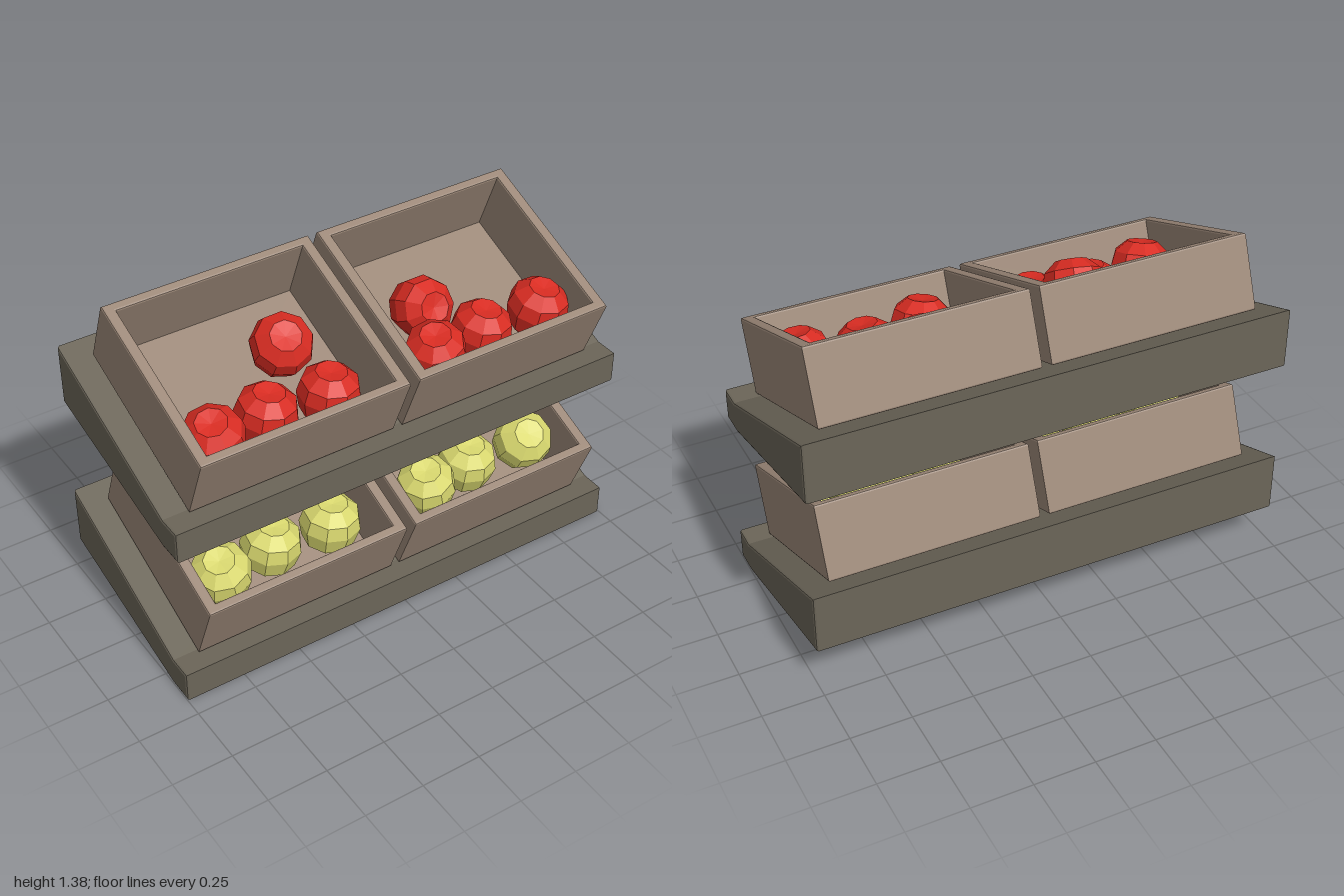
import * as THREE from 'three';

const TIER = 0.695;                       // height step between the two shelves
const mat = (color, flatShading = false) => {
  const m = new THREE.MeshStandardMaterial({ flatShading });
  m.color.set(color);
  return m;
};

function add(parent, name, geometry, material) {
  const mesh = new THREE.Mesh(geometry, material);
  mesh.name = name;
  parent.add(mesh);
  return mesh;
}

// Extrusion with a small bevel that stays inside the outline and the depth
function bevelled(shape, depth, b) {
  return new THREE.ExtrudeGeometry(shape, {
    depth: depth - 2 * b, bevelThickness: b, bevelSize: b, bevelOffset: -b, bevelSegments: 2,
  }).translate(0, 0, b);
}

function rect(w, h, Type = THREE.Shape) {
  return new Type([[-w, -h], [w, -h], [w, h], [-w, h]].map(([x, y]) => new THREE.Vector2(x / 2, y / 2)));
}

// Wedge-shaped shelf, drawn from the side and extruded across
function shelfGeometry() {
  const side = [[-0.42, 0], [-0.31, 0], [0.447, 0.175], [0.447, 0.43], [-0.32, 0.13], [-0.42, 0.13]];
  const shape = new THREE.Shape(side.map(([x, y]) => new THREE.Vector2(x, y)));
  return bevelled(shape, 2, 0.01).translate(0, 0, -1).rotateY(Math.PI / 2);
}

// Crate walls: a rectangular frame pulled upwards
function wallGeometry() {
  const frame = rect(0.88, 0.747);
  frame.holes.push(rect(0.79, 0.671, THREE.Path));
  return bevelled(frame, 0.304, 0.008).rotateX(-Math.PI / 2);
}

// Chunky faceted fruit
function fruitGeometry() {
  const profile = [[0, -0.1], [0.06, -0.11], [0.107, -0.065], [0.124, 0.01], [0.111, 0.067], [0.062, 0.11], [0, 0.1]];
  return new THREE.LatheGeometry(profile.map(([x, y]) => new THREE.Vector2(x, y)), 9);
}

// Fruit positions x, y, z and tilts about x and z, heights relative to the tier
const fruits = [
  [ // lower shelf
    [-0.73, 0.37, 0.235, 0.3, 0.2], [-0.485, 0.365, 0.195, 0.2, -0.1], [-0.225, 0.37, 0.215, 0.4, -0.3],
    [-0.69, 0.47, 0.03, 0.3, 0.1],
    [0.22, 0.37, 0.235, 0.3, -0.2], [0.45, 0.36, 0.195, 0.2, 0], [0.72, 0.37, 0.215, 0.4, -0.3],
    [0.62, 0.5, 0.045, 0.3, -0.35],
  ],
  [ // upper shelf
    [-0.73, 0.325, 0.235, 0.3, 0.2], [-0.485, 0.305, 0.195, 0.2, -0.1], [-0.225, 0.305, 0.215, 0.4, -0.3],
    [-0.315, 0.45, 0.03, 0.9, -0.3],
    [0.245, 0.32, 0.235, 0.3, -0.2], [0.49, 0.305, 0.195, 0.2, 0.1], [0.75, 0.325, 0.215, 0.4, 0.2],
    [0.33, 0.375, 0.015, 1.2, 0.1],
  ],
];

export function createModel() {
  const model = new THREE.Group();
  model.name = 'fruitDisplay';
  const shelfMat = mat(0x6b6558), crateMat = mat(0x9c8878);
  const fruitMats = [mat(0xd9d86f, true), mat(0xd92c22, true)];
  const shelfGeo = shelfGeometry(), wallGeo = wallGeometry(), fruitGeo = fruitGeometry();
  const floorGeo = new THREE.BoxGeometry(0.84, 0.02, 0.71);

  fruits.forEach((list, i) => {
    const tier = new THREE.Group();
    tier.name = i ? 'upperTier' : 'lowerTier';
    tier.position.y = i * TIER;
    model.add(tier);
    add(tier, 'shelf', shelfGeo, shelfMat);

    // Two crates lying on the sloping shelf
    for (const s of [-1, 1]) {
      const crate = new THREE.Group();
      crate.name = s < 0 ? 'rightCrate' : 'leftCrate';
      crate.position.set(s * 0.46, 0.268, -0.0075);
      crate.rotation.x = Math.atan2(0.275, 0.695);
      add(crate, 'crateWalls', wallGeo, crateMat);
      add(crate, 'crateFloor', floorGeo, crateMat).position.y = 0.013;
      tier.add(crate);
    }

    // Loose fruit gathered towards the front
    list.forEach(([x, y, z, rx, rz], k) => {
      const fruit = add(tier, 'fruit', fruitGeo, fruitMats[i]);
      fruit.position.set(x, y, z);
      fruit.rotation.set(rx, k * 0.7, rz);
    });
  });
  return model;
}
